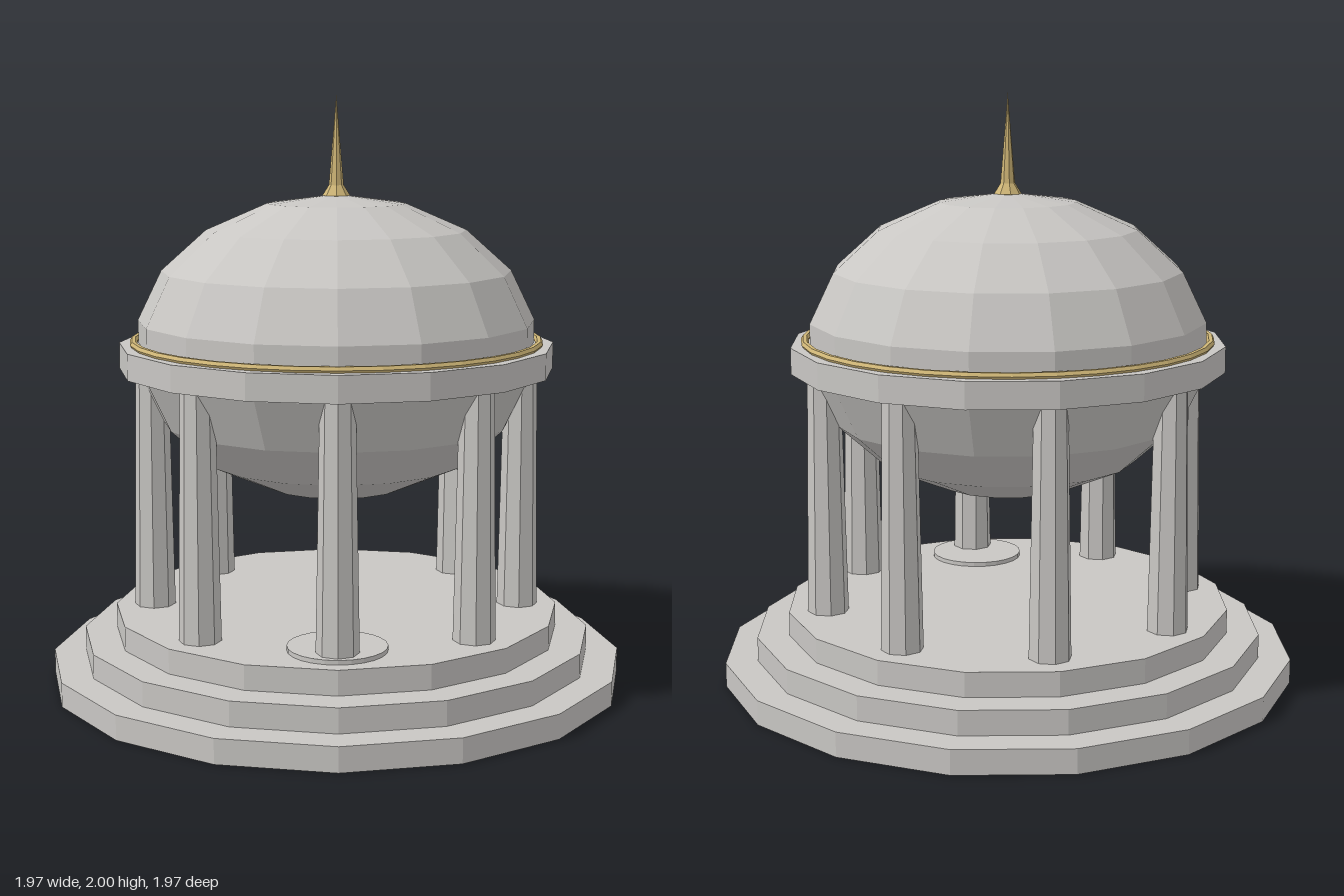
import * as THREE from 'three';

export function createModel() {
  const model = new THREE.Group();
  model.name = 'domedRotunda';

  const stone = new THREE.MeshStandardMaterial({ color: 0xc8c6c3, flatShading: true });
  stone.name = 'pale stone';
  const gold = new THREE.MeshStandardMaterial({ color: 0xcfb677, flatShading: true });
  gold.name = 'gold';

  const add = (name, geometry, material, x = 0, y = 0, z = 0) => {
    const mesh = new THREE.Mesh(geometry, material);
    mesh.name = name;
    mesh.position.set(x, y, z);
    model.add(mesh);
    return mesh;
  };

  // A prism standing on height y0
  const drum = (name, rTop, rBottom, y0, y1, sides, x = 0, z = 0) =>
    add(name, new THREE.CylinderGeometry(rTop, rBottom, y1 - y0, sides), stone, x, (y0 + y1) / 2, z);

  // Three round steps
  const stepHeight = 0.083;
  [0.985, 0.875, 0.765].forEach((r, i) =>
    drum('step' + (i + 1), r, r, i * stepHeight, (i + 1) * stepHeight, 16));

  // Threshold disc at the front
  drum('thresholdDisc', 0.163, 0.163, 0.249, 0.264, 24, 0, 0.55);

  // Ring of tapered columns
  for (let i = 0; i < 8; i++) {
    const a = (i * Math.PI) / 4;
    drum('column' + (i + 1), 0.056, 0.07, 0.249, 1.085, 8, 0.63 * Math.sin(a), 0.63 * Math.cos(a));
  }

  // Entablature carrying the dome
  drum('entablature', 0.74, 0.74, 1.077, 1.166, 16);

  // Flattened globe: dome above, bowl below
  const globe = add('dome', new THREE.SphereGeometry(0.685, 16, 9), stone, 0, 1.155, 0);
  globe.scale.y = 0.515 / 0.685;

  // Gold band at the foot of the dome
  const band = add('goldBand', new THREE.TorusGeometry(0.69, 0.013, 6, 32), gold, 0, 1.174, 0);
  band.rotation.x = Math.PI / 2;

  // Finial: flared foot and tall spike
  const profile = [[0, 1.655], [0.047, 1.665], [0.03, 1.692], [0.025, 1.7], [0, 2]]
    .map(([r, y]) => new THREE.Vector2(r, y));
  add('finial', new THREE.LatheGeometry(profile, 8), gold);

  return model;
}
